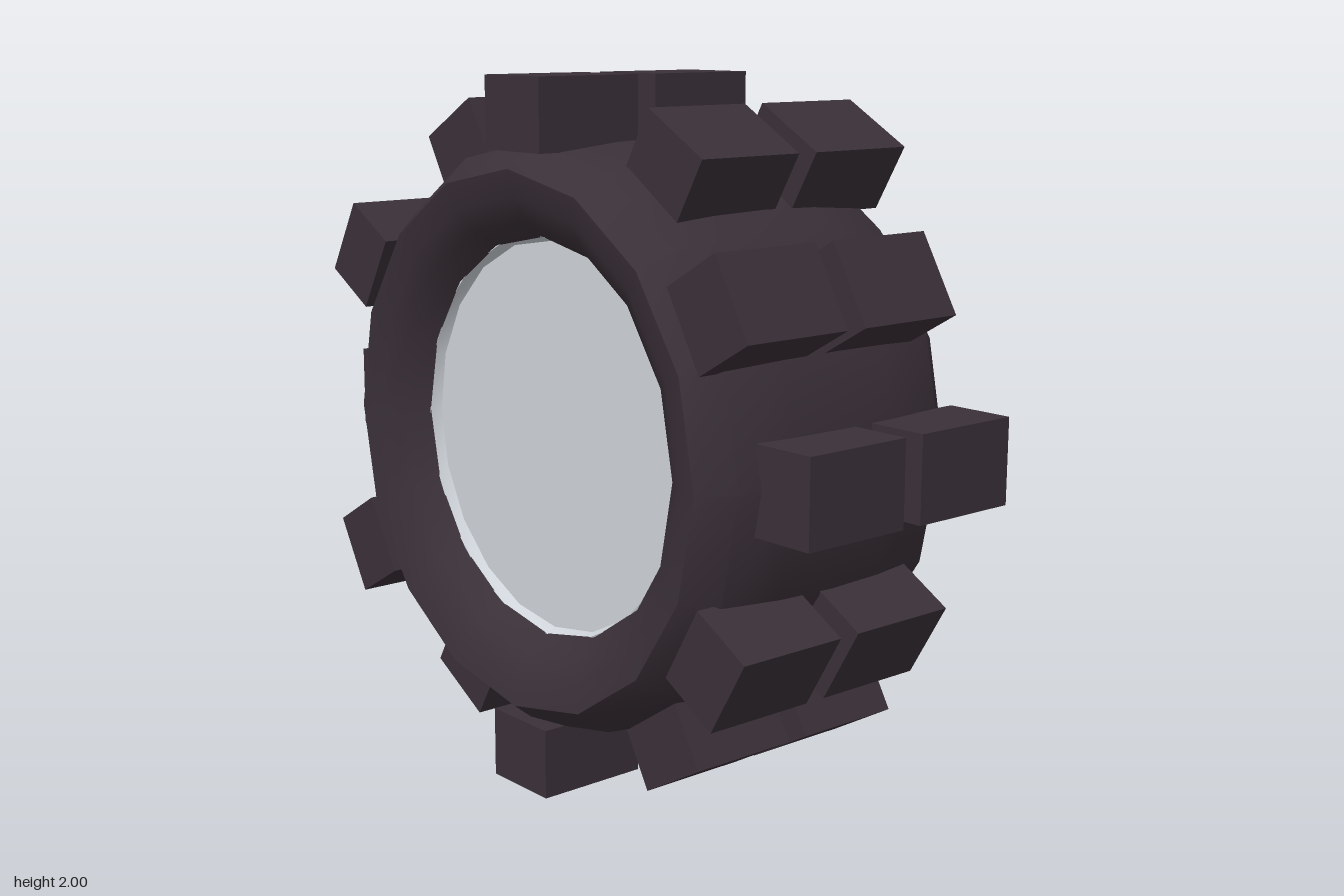
import * as THREE from 'three';
import { toCreasedNormals } from 'three/addons/utils/BufferGeometryUtils.js';

const rubber = new THREE.MeshStandardMaterial({ color: 0x3a3038 });
rubber.name = 'dark rubber';
const metal = new THREE.MeshStandardMaterial({ color: 0xcfd4da });
metal.name = 'light metal';

// Revolve [x, radius] pairs around the x axle, from the back face to the outer face
function revolve(profile, sides) {
  const points = profile.map(([x, r]) => new THREE.Vector2(r, x));
  const geometry = new THREE.LatheGeometry(points, sides).rotateZ(-Math.PI / 2);
  return toCreasedNormals(geometry, 0.6);
}

function addMesh(parent, name, geometry, material) {
  const mesh = new THREE.Mesh(geometry, material);
  mesh.name = name;
  parent.add(mesh);
  return mesh;
}

// Place copies in a ring around the axle, the first one at the top
function ring(parent, name, count, build) {
  for (let i = 0; i < count; i++) {
    const spoke = new THREE.Group();
    spoke.name = name;
    spoke.rotation.x = (i / count) * Math.PI * 2;
    build(spoke, i);
    parent.add(spoke);
  }
}

export function createModel() {
  const model = new THREE.Group();
  model.name = 'offRoadWheel';
  const wheel = new THREE.Group();
  wheel.name = 'wheel';
  wheel.position.y = 1;
  model.add(wheel);

  // Tyre: sidewall, shoulder and slightly domed crown, mirrored
  const half = [[0.34, 0.565], [0.4, 0.61], [0.44, 0.68], [0.457, 0.755], [0.37, 0.825], [0.18, 0.844]];
  const tyre = [...half.map(([x, r]) => [-x, r]), [0, 0.85], ...half.slice().reverse()];
  addMesh(wheel, 'tyre', revolve(tyre, 16), rubber);

  // Tread: paired blocks, staggered sideways on alternate rows
  const block = new THREE.BoxGeometry(0.337, 0.2, 0.24);
  ring(wheel, 'treadRow', 12, (row, i) => {
    const shift = i % 2 ? 0.068 : -0.072;
    for (const side of [-1, 1]) {
      addMesh(row, 'treadBlock', block, rubber).position.set(shift + side * 0.2, 0.9, 0);
    }
  });

  // Rim: shallow back cup, flange, sunken dish and raised hub
  const rim = [
    [-0.31, 0], [-0.31, 0.552], [-0.342, 0.566], [-0.335, 0.58], [0.337, 0.58],
    [0.337, 0.452], [0.25, 0.43], [0.25, 0.228], [0.33, 0.205], [0.33, 0],
  ];
  addMesh(wheel, 'rim', revolve(rim, 20), metal);

  // Flange bolts
  const bolt = new THREE.CylinderGeometry(0.035, 0.035, 0.05, 6).rotateZ(-Math.PI / 2);
  bolt.computeVertexNormals();
  const boltGeometry = toCreasedNormals(bolt, 0.5);
  ring(wheel, 'boltSpoke', 8, (spoke) => {
    addMesh(spoke, 'flangeBolt', boltGeometry, metal).position.set(0.35, 0.505, 0);
  });

  // Dark square lugs standing in the dish
  const lug = new THREE.BoxGeometry(0.08, 0.145, 0.145);
  ring(wheel, 'lugSpoke', 6, (spoke) => {
    addMesh(spoke, 'dishLug', lug, rubber).position.set(0.275, 0.313, 0);
  });

  return model;
}
